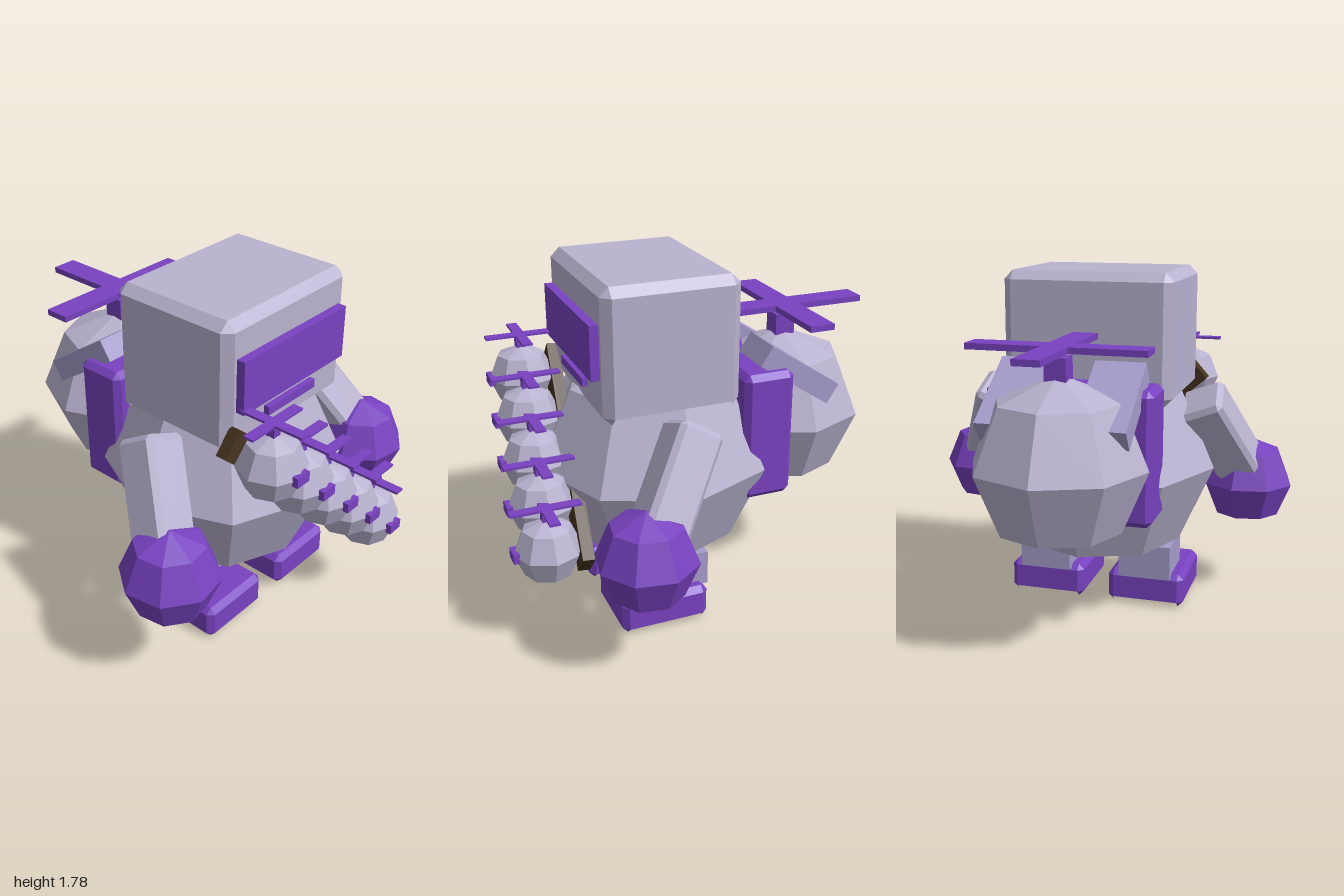
import * as THREE from 'three';
import { ConvexGeometry } from 'three/addons/geometries/ConvexGeometry.js';

const mat = (name, color, side = THREE.DoubleSide) => {
  const m = new THREE.MeshStandardMaterial({ color, flatShading: true, side });
  m.name = name;
  return m;
};
const shell = mat('pale shell', 0xb9b3d0);
const violet = mat('violet', 0x7842c0);
const lavender = mat('lavender', 0xa59cca);
const brown = mat('dark brown', 0x45331e);

function add(parent, name, geometry, material, x = 0, y = 0, z = 0) {
  const mesh = new THREE.Mesh(geometry, material);
  mesh.name = name;
  mesh.position.set(x, y, z);
  parent.add(mesh);
  return mesh;
}

// Plain box given by its limits on each axis
function box(parent, name, material, [x0, x1], [y0, y1], [z0, z1]) {
  return add(parent, name, new THREE.BoxGeometry(x1 - x0, y1 - y0, z1 - z0), material,
    (x0 + x1) / 2, (y0 + y1) / 2, (z0 + z1) / 2);
}

// Box with chamfered edges; an open one loses its underside and lower chamfers
function chamferBox(w, h, d, b, open = false) {
  const points = [];
  for (const sx of [-1, 1]) for (const sy of [-1, 1]) for (const sz of [-1, 1]) {
    const x = w / 2, y = h / 2, z = d / 2;
    for (const [px, py, pz] of [[x, y - b, z - b], [x - b, y, z - b], [x - b, y - b, z]])
      points.push(new THREE.Vector3(sx * px, sy * py, sz * pz));
  }
  const geometry = new ConvexGeometry(points);
  if (!open) return geometry;
  const pos = geometry.attributes.position, normal = geometry.attributes.normal;
  const kept = [];
  for (let i = 0; i < pos.count; i += 3) {
    if (normal.getY(i) < -0.65) continue;
    for (let k = i; k < i + 3; k++) kept.push(pos.getX(k), pos.getY(k), pos.getZ(k));
  }
  const cut = new THREE.BufferGeometry();
  cut.setAttribute('position', new THREE.Float32BufferAttribute(kept, 3));
  cut.computeVertexNormals();
  return cut;
}

// Eight-sided ball with a flat underside
function ball(r, ry = r) {
  const c = Math.SQRT1_2;
  const profile = [[0, -c], [c, -c], [1, 0], [c, c], [0, 1]]
    .map(([x, y]) => new THREE.Vector2(x * r, y * ry));
  return new THREE.LatheGeometry(profile, 8);
}

// Two crossed blades
function rotor(parent, y, half, width, thick) {
  const blades = new THREE.Group();
  blades.name = 'rotor';
  blades.position.y = y;
  add(blades, 'bladeAcross', new THREE.BoxGeometry(half * 2, thick, width), violet);
  for (const s of [-1, 1])
    add(blades, 'bladeAlong', new THREE.BoxGeometry(width, thick, half - width / 2), violet,
      0, 0, s * (half + width / 2) / 2);
  parent.add(blades);
}

export function createModel() {
  const model = new THREE.Group();
  model.name = 'robot';
  const cx = -0.015;

  // Body and head
  add(model, 'body', ball(0.61, 0.57), shell, cx, 0.763, 0.15);
  add(model, 'head', chamferBox(0.87, 0.66, 0.685, 0.045, true), shell, cx, 1.45, 0.198);
  box(model, 'visor', violet, [-0.39, 0.355], [1.34, 1.605], [0.53, 0.585]);
  box(model, 'mouth', violet, [-0.19, 0.16], [1.243, 1.287], [0.53, 0.57]);

  for (const s of [-1, 1]) {
    const side = s > 0 ? 'left' : 'right';
    // Arm, reaching down, out and forward into the hand
    const top = new THREE.Vector3(s * 0.545, 1.125, 0.155);
    const end = new THREE.Vector3(s * 0.76, 0.66, 0.45);
    const up = top.clone().sub(end);
    const arm = add(model, side + 'Arm', chamferBox(0.23, up.length(), 0.23, 0.025), shell);
    arm.position.copy(top).add(end).multiplyScalar(0.5);
    arm.quaternion.setFromUnitVectors(new THREE.Vector3(0, 1, 0), up.normalize());

    const hand = add(model, side + 'Hand', ball(0.245), violet, s * 0.76, 0.62, 0.475);
    hand.rotation.y = s * 0.22;

    // Leg and open-bottomed foot
    const lx = cx + s * 0.275;
    box(model, side + 'Leg', lavender, [lx - 0.138, lx + 0.138], [0.165, 0.347], [0.015, 0.29]);
    add(model, side + 'Foot', chamferBox(0.408, 0.182, 0.455, 0.03, true), violet, lx, 0.094, 0.265);

    // Tilted bracket between pack and rear drone
    const bracket = add(model, side + 'Bracket', new THREE.BoxGeometry(0.25, 0.115, 0.455), lavender,
      cx + s * 0.235, 1.21, -0.5);
    bracket.rotation.x = -0.585;
  }

  // Back pack carrying the large drone
  add(model, 'backPack', chamferBox(0.83, 0.665, 0.265, 0.03), violet, cx, 0.93, -0.312);
  const rear = new THREE.Group();
  rear.name = 'rearDrone';
  rear.position.set(cx, 0.92, -0.567);
  add(rear, 'droneBody', ball(0.432), shell);
  add(rear, 'rotorMast', new THREE.BoxGeometry(0.105, 0.13, 0.105), violet, 0, 0.447, 0);
  rotor(rear, 0.55, 0.433, 0.13, 0.03);
  model.add(rear);

  // Chest strap with a diagonal row of small drones
  const along = new THREE.Vector3(0.9, -0.79, 0.11).normalize();
  const out = new THREE.Vector3(0, 0, 1).cross(along).normalize();
  const strap = add(model, 'chestStrap', new THREE.BoxGeometry(1.19, 0.15, 0.06), brown, cx, 0.83, 0.61);
  strap.quaternion.setFromRotationMatrix(
    new THREE.Matrix4().makeBasis(along, out, along.clone().cross(out)));

  for (let i = 0; i < 5; i++) {
    const drone = new THREE.Group();
    drone.name = 'chestDrone' + (i + 1);
    drone.position.set(-0.37 + i * 0.1765, 1.141 - i * 0.1565, 0.735 + i * 0.0225);
    add(drone, 'droneBody', ball(0.168), shell);
    add(drone, 'rotorMast', new THREE.BoxGeometry(0.045, 0.05, 0.045), violet, 0, 0.18, 0);
    add(drone, 'droneEye', new THREE.BoxGeometry(0.085, 0.05, 0.03), violet, 0, 0, 0.161);
    rotor(drone, 0.219, 0.174, 0.052, 0.012);
    model.add(drone);
  }
  return model;
}
